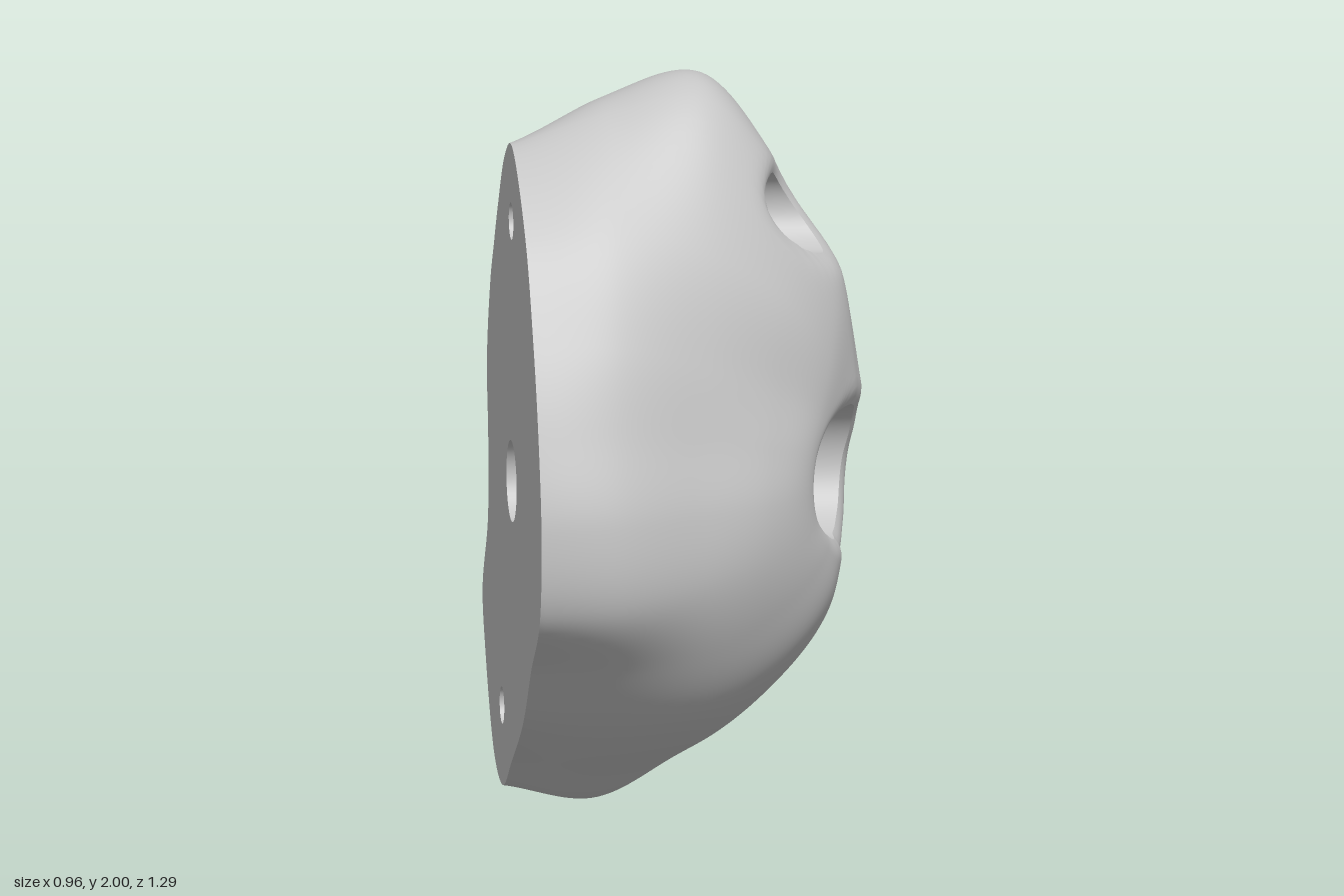
import * as THREE from 'three';

const BASE = -0.485, CY = 0.92;
const LEVELS = [0, 0.28, 0.56, 0.8, 0.94, 1];

// angle from +y towards +z, peak x, then radii at each level from the flat back outwards
const ROWS = [
  [0, 0.45, 0.92, 1.0, 1.03, 0.79, 0.57],
  [22, 0.41, 0.79, 0.8, 0.72, 0.56, 0.37],
  [45, 0.37, 0.67, 0.65, 0.54, 0.4, 0.28],
  [67, 0.34, 0.63, 0.59, 0.48, 0.37, 0.265],
  [90, 0.33, 0.645, 0.61, 0.495, 0.38, 0.265],
  [112, 0.34, 0.66, 0.64, 0.53, 0.4, 0.275],
  [135, 0.375, 0.6, 0.625, 0.565, 0.43, 0.29],
  [157, 0.405, 0.655, 0.685, 0.64, 0.5, 0.34],
  [180, 0.42, 0.77, 0.81, 0.73, 0.555, 0.38],
  [192, 0.42, 0.895, 0.935, 0.76, 0.565, 0.385],
  [204, 0.43, 0.91, 0.915, 0.755, 0.565, 0.385],
  [225, 0.445, 0.81, 0.8, 0.68, 0.52, 0.37],
  [235, 0.45, 0.76, 0.74, 0.67, 0.53, 0.37],
  [247, 0.455, 0.55, 0.58, 0.645, 0.52, 0.36],
  [270, 0.465, 0.5, 0.55, 0.645, 0.53, 0.37],
  [292, 0.48, 0.57, 0.59, 0.67, 0.54, 0.385],
  [315, 0.485, 0.64, 0.71, 0.815, 0.605, 0.42],
  [326, 0.485, 0.68, 0.78, 0.89, 0.65, 0.45],
  [337, 0.48, 0.75, 0.9, 1.02, 0.72, 0.5],
  [350, 0.465, 0.87, 1.02, 1.08, 0.78, 0.55],
];

// bores along x: recess radius, then stepped [radius, x] profile from recess floor to the back
const HOLES = [
  { name: 'mainBore', y: 0.92, z: 0, r: 0.18, steps: [[0.18, -0.05], [0.11, -0.05], [0.11, BASE]] },
  { name: 'upperBore', y: 1.63, z: -0.01, r: 0.11,
    steps: [[0.11, 0.16], [0.07, 0.16], [0.05, 0.12], [0.05, BASE]] },
  { name: 'lowerBore', y: 0.26, z: -0.205, r: 0.11,
    steps: [[0.11, -0.08], [0.07, -0.08], [0.05, -0.12], [0.05, BASE]] },
];
const LIP_WIDTH = 0.06, LIP_DEPTH = 0.03;

// smooth body surface: closed curves around each level, joined by a curve along each profile
function bodySurface(nu, nv) {
  const loops = LEVELS.map((t, k) => new THREE.CatmullRomCurve3(ROWS.map((row) => {
    const a = THREE.MathUtils.degToRad(row[0]);
    const r = k < 5 ? row[k + 2] : 0.15;
    return new THREE.Vector3(BASE + t * (row[1] - BASE), CY + r * Math.cos(a), r * Math.sin(a));
  }), true));
  const pos = [], idx = [];
  for (let i = 0; i < nu; i++) {
    const profile = new THREE.CatmullRomCurve3(loops.map((c) => c.getPoint(i / nu)));
    for (let j = 0; j <= nv; j++) {
      const p = profile.getPoint(j / nv);
      // rounded lip sinking into each recess
      for (const h of HOLES) {
        const s = 1 - (Math.hypot(p.y - h.y, p.z - h.z) - h.r) / LIP_WIDTH;
        p.x -= LIP_DEPTH * THREE.MathUtils.clamp(s, 0, 1.4) ** 2;
      }
      pos.push(p.x, p.y, p.z);
    }
    const a = i * (nv + 1), b = ((i + 1) % nu) * (nv + 1);
    for (let j = 0; j < nv; j++) idx.push(a + j, b + j, b + j + 1, a + j, b + j + 1, a + j + 1);
  }
  const g = new THREE.BufferGeometry();
  g.setAttribute('position', new THREE.Float32BufferAttribute(pos, 3));
  g.setIndex(idx);
  g.computeVertexNormals();
  return { g, outline: loops[0] };
}

// cut a round hole from a list of triangles; returns the rest and the cut edges
function cutHole(tris, h) {
  const rest = [], edges = [];
  const f = (v) => Math.hypot(v.p.y - h.y, v.p.z - h.z) - h.r;
  for (const tri of tris) {
    const d = tri.map(f);
    if (d.every((x) => x >= 0)) { rest.push(tri); continue; }
    if (d.every((x) => x < 0)) continue;
    const poly = [];
    let leave, enter;
    for (let i = 0; i < 3; i++) {
      const n = (i + 1) % 3;
      if (d[i] >= 0) poly.push(tri[i]);
      if ((d[i] >= 0) !== (d[n] >= 0)) {
        const t = d[i] / (d[i] - d[n]);
        const v = { p: tri[i].p.clone().lerp(tri[n].p, t), n: tri[i].n.clone().lerp(tri[n].n, t).normalize() };
        poly.push(v);
        if (d[i] >= 0) leave = v; else enter = v;
      }
    }
    for (let i = 1; i < poly.length - 1; i++) rest.push([poly[0], poly[i], poly[i + 1]]);
    edges.push([leave, enter]);
  }
  return { rest, edges };
}

function trisToGeometry(tris) {
  const g = new THREE.BufferGeometry(), verts = tris.flat();
  g.setAttribute('position', new THREE.Float32BufferAttribute(verts.flatMap((v) => v.p.toArray()), 3));
  g.setAttribute('normal', new THREE.Float32BufferAttribute(verts.flatMap((v) => v.n.toArray()), 3));
  return g;
}

export function createModel() {
  const model = new THREE.Group();
  const grey = new THREE.MeshStandardMaterial({ color: 0xc6c6c6 });
  grey.name = 'stone grey';
  const add = (name, geometry, parent = model) => {
    const m = new THREE.Mesh(geometry, grey);
    m.name = name;
    parent.add(m);
  };

  const { g, outline } = bodySurface(200, 80);
  const P = g.attributes.position, N = g.attributes.normal, I = g.index;
  let tris = [];
  for (let i = 0; i < I.count; i += 3) {
    tris.push([0, 1, 2].map((k) => ({
      p: new THREE.Vector3().fromBufferAttribute(P, I.getX(i + k)),
      n: new THREE.Vector3().fromBufferAttribute(N, I.getX(i + k)),
    })));
  }

  // flat back
  const back = new THREE.Shape(outline.getPoints(200).slice(0, -1).map((p) => new THREE.Vector2(p.z, p.y)));

  for (const h of HOLES) {
    const bore = new THREE.Group();
    bore.name = h.name;
    model.add(bore);

    // recess wall from the body surface down to the recess floor
    const cut = cutHole(tris, h);
    tris = cut.rest;
    const wall = [];
    const inward = (p) => new THREE.Vector3(0, h.y - p.y, h.z - p.z).normalize();
    for (const [a, b] of cut.edges) {
      const top = [b, a].map(({ p }) => ({ p, n: inward(p) }));
      const low = top.map(({ p, n }) => ({ p: new THREE.Vector3(h.steps[0][1], p.y, p.z), n }));
      wall.push([top[0], top[1], low[1]], [top[0], low[1], low[0]]);
    }
    add('recessWall', trisToGeometry(wall), bore);

    // seat, countersink and bolt shaft
    const last = h.steps.length - 1;
    for (let i = 0; i < last; i++) {
      const pts = [h.steps[i], h.steps[i + 1]].map(([r, x]) => new THREE.Vector2(r, x));
      const ring = new THREE.LatheGeometry(pts, 48).rotateZ(-Math.PI / 2).translate(0, h.y, h.z);
      add(i === 0 ? 'seat' : i === last - 1 ? 'shaft' : 'countersink', ring, bore);
    }
    back.holes.push(new THREE.Path().absarc(h.z, h.y, h.steps[last][0], 0, Math.PI * 2, true));
  }

  add('body', trisToGeometry(tris));
  add('flatBack', new THREE.ShapeGeometry(back, 24).rotateY(-Math.PI / 2).translate(BASE, 0, 0));
  return model;
}
